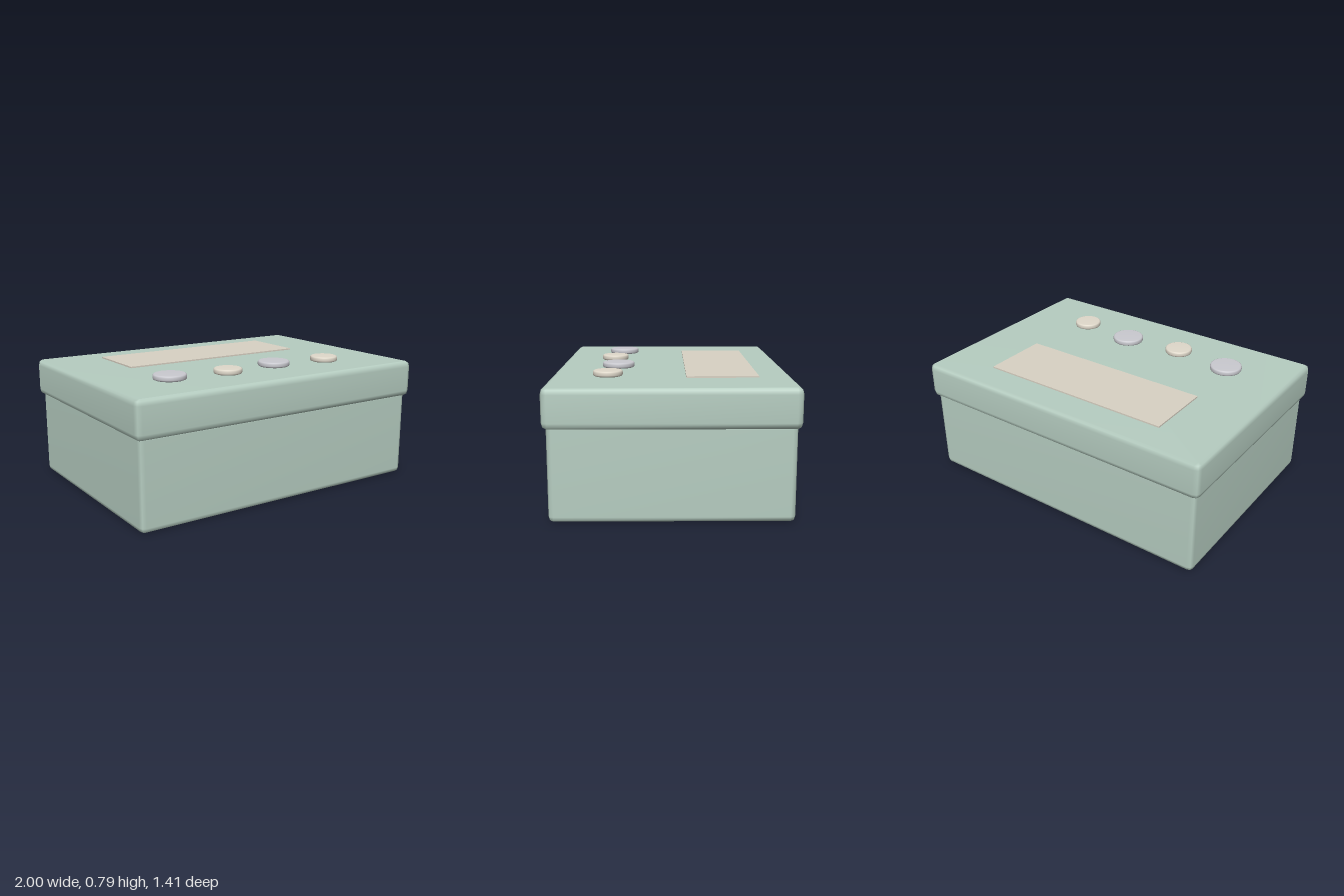
import * as THREE from 'three';

const SAGE = 0xb6cdc1, CREAM = 0xe0d9cb, SILVER = 0xcacad0, PANEL = 0xd9d2c4;

// Softly bevelled box: rounded-rectangle rings stacked in y, smooth normals
function bevelBox(w, d, y0, y1, r, steps = 2) {
  const pos = [], idx = [];
  const n = 4 * (steps + 1);
  const rings = [[y0, r * 0.7], [y0 + r * 0.3, r * 0.2], [y0 + r, 0], [y1 - r, 0], [y1 - r * 0.3, r * 0.2], [y1, r * 0.7]];
  for (const [y, inset] of rings) {
    for (let c = 0; c < 4; c++) {
      const sx = c === 0 || c === 3 ? 1 : -1, sz = c < 2 ? 1 : -1;
      for (let s = 0; s <= steps; s++) {
        const a = (c + s / steps) * Math.PI / 2;
        pos.push(sx * (w / 2 - r) + (r - inset) * Math.cos(a), y, sz * (d / 2 - r) + (r - inset) * Math.sin(a));
      }
    }
  }
  for (let i = 0; i < rings.length - 1; i++) {
    for (let j = 0; j < n; j++) {
      const a = i * n + j, b = i * n + (j + 1) % n;
      idx.push(a, a + n, b, b, a + n, b + n);
    }
  }
  // Flat caps
  const t = (rings.length - 1) * n;
  for (let k = 1; k < n - 1; k++) idx.push(0, k, k + 1, t, t + k + 1, t + k);
  const g = new THREE.BufferGeometry();
  g.setAttribute('position', new THREE.Float32BufferAttribute(pos, 3));
  g.setIndex(idx);
  g.computeVertexNormals();
  return g;
}

// Flat disc with a rounded rim
function buttonGeometry(r, h) {
  const b = h * 0.3;
  const profile = [[0, 0], [r - b, 0], [r - b * 0.3, b * 0.3], [r, b], [r, h - b], [r - b * 0.3, h - b * 0.3], [r - b, h], [0, h]];
  return new THREE.LatheGeometry(profile.map(([x, y]) => new THREE.Vector2(x, y)), 40);
}

export function createModel() {
  const group = new THREE.Group();
  const add = (name, geometry, color, x = 0, y = 0, z = 0) => {
    const mesh = new THREE.Mesh(geometry, new THREE.MeshStandardMaterial({ color }));
    mesh.name = name;
    mesh.position.set(x, y, z);
    group.add(mesh);
  };

  // Box and overhanging lid
  add('body', bevelBox(1.95, 1.365, 0, 0.55, 0.03), SAGE);
  add('lid', bevelBox(2, 1.41, 0.525, 0.75, 0.035), SAGE);

  // Thin label panel on the rear half of the lid
  add('labelPanel', new THREE.BoxGeometry(1.25, 0.02, 0.42), PANEL, 0, 0.749, -0.295);

  // Row of alternating large and small buttons
  for (let i = 0; i < 4; i++) {
    const large = i % 2 === 0;
    add(large ? 'largeButton' : 'smallButton', buttonGeometry(large ? 0.1 : 0.087, 0.035),
      large ? SILVER : CREAM, -0.587 + i * 0.375, 0.75, large ? 0.33 : 0.372);
  }
  return group;
}
